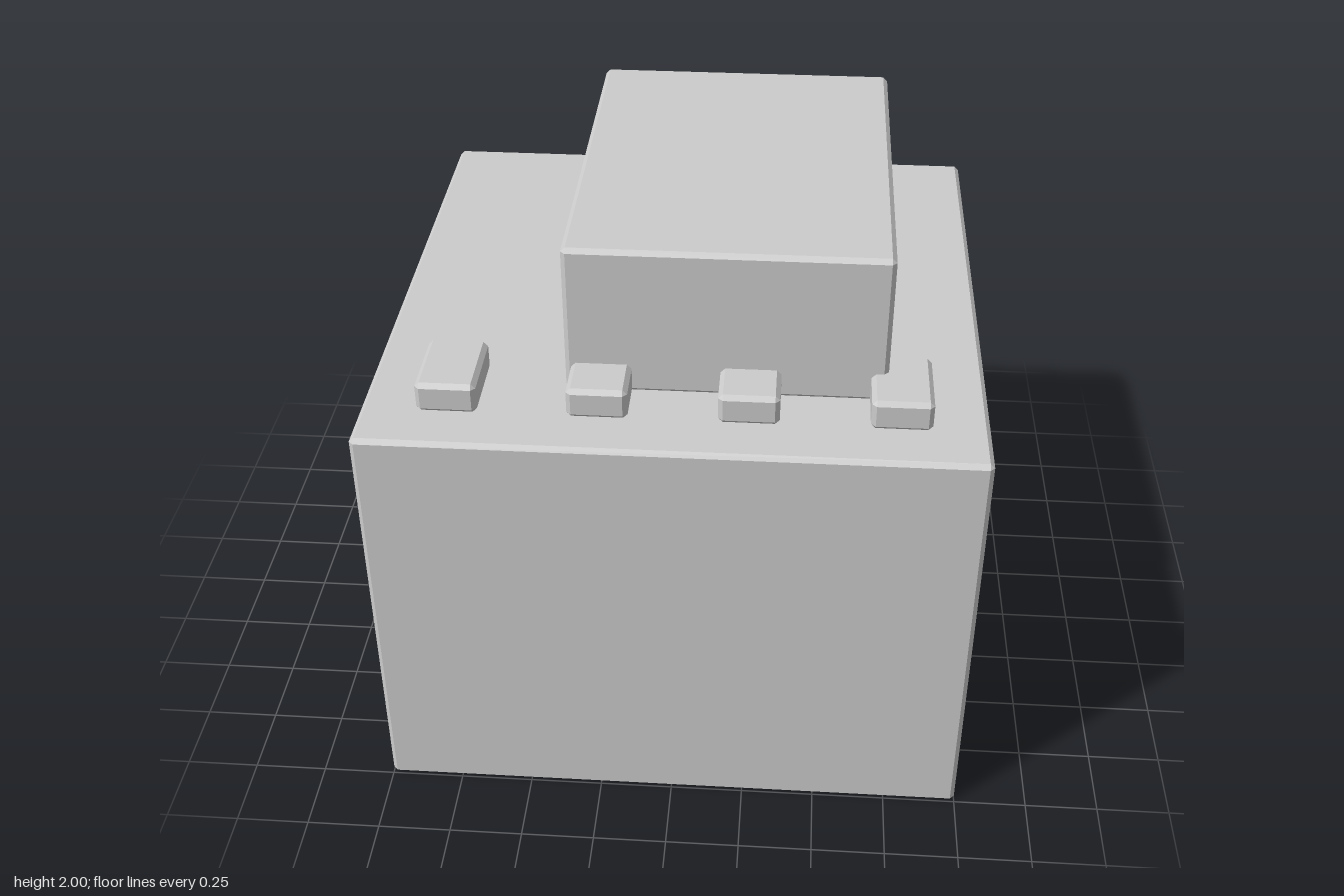
import * as THREE from 'three';
import { ConvexGeometry } from 'three/addons/geometries/ConvexGeometry.js';

const BEVEL = 0.015;
const material = new THREE.MeshStandardMaterial({ color: 0xcccccc, flatShading: true });

// Box with a single flat bevel on every edge: three corner points per corner
function bevelledBox(name, [w, h, d], [x, y, z]) {
  const half = [w / 2, h / 2, d / 2];
  const points = [];
  for (const sx of [-1, 1]) for (const sy of [-1, 1]) for (const sz of [-1, 1]) {
    const sign = [sx, sy, sz];
    for (let face = 0; face < 3; face++) {
      const p = half.map((v, i) => sign[i] * (i === face ? v : v - BEVEL));
      points.push(new THREE.Vector3(...p));
    }
  }
  const mesh = new THREE.Mesh(new ConvexGeometry(points), material);
  mesh.name = name;
  mesh.position.set(x, y, z);
  return mesh;
}

export function createModel() {
  const model = new THREE.Group();
  model.name = 'blockModel';

  // Large base block
  model.add(bevelledBox('base', [2, 1.48, 2], [0, 0.74, 0]));

  // Offset block on top
  model.add(bevelledBox('upperBlock', [1.035, 0.52, 1.35], [0.16, 1.74, 0]));

  // Row of small blocks along the front edge
  for (let i = 0; i < 4; i++) {
    model.add(bevelledBox(`smallBlock${i + 1}`, [0.195, 0.105, 0.275], [-0.72 + i * 0.48, 1.5325, 0.6975]));
  }
  return model;
}
